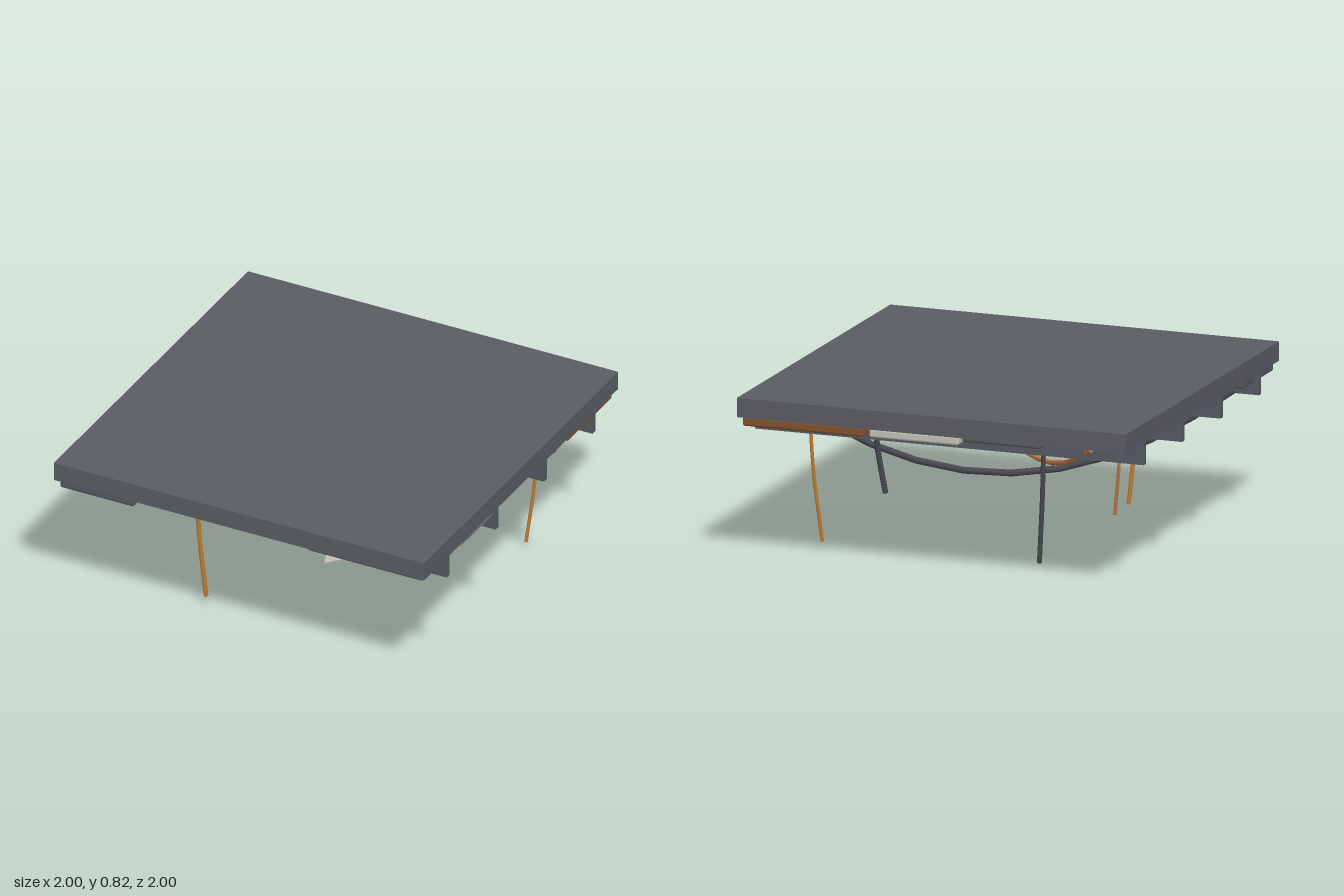
import * as THREE from 'three';
import { RoundedBoxGeometry } from 'three/addons/geometries/RoundedBoxGeometry.js';

const mat = (name, color) => {
  const m = new THREE.MeshStandardMaterial({ color });
  m.name = name;
  return m;
};

export function createModel() {
  const model = new THREE.Group();
  model.name = 'damagedCeiling';

  const slabGrey = mat('slabGrey', 0x595c62);
  const beamGrey = mat('beamGrey', 0x565963);
  const darkTile = mat('darkTile', 0x54575c);
  const paleGrey = mat('paleGrey', 0x85898b);
  const offWhite = mat('offWhite', 0xc4c3b7);
  const rust = mat('rust', 0x83522f);
  const darkCable = mat('darkCable', 0x47484f);
  const copper = mat('copper', 0xb87a45);
  const orange = mat('orange', 0xbd7c30);

  const add = (name, geometry, material, x = 0, y = 0, z = 0, parent = model) => {
    const mesh = new THREE.Mesh(geometry, material);
    mesh.name = name;
    mesh.position.set(x, y, z);
    parent.add(mesh);
    return mesh;
  };

  // Slab and the four beams under it
  const slabBottom = 0.735;
  add('slab', new THREE.BoxGeometry(2, 0.095, 2), slabGrey, 0, slabBottom + 0.0475, 0);
  for (const z of [-0.75, -0.25, 0.25, 0.75]) {
    add('beam', new THREE.BoxGeometry(2, 0.11, 0.03), beamGrey, 0, slabBottom - 0.055, z);
  }

  // Tile: thin sheet inside a rounded raised rim
  const tile = (name, x0, x1, z0, z1, bottom, material) => {
    const g = new THREE.Group();
    g.name = name;
    model.add(g);
    const w = x1 - x0, d = z1 - z0, h = slabBottom - bottom, rim = 0.03;
    const cx = (x0 + x1) / 2, cz = (z0 + z1) / 2, cy = bottom + h / 2;
    const sheetBottom = Math.min(slabBottom - 0.006, bottom + 0.018);
    const sheetH = slabBottom - sheetBottom;
    add('sheet', new THREE.BoxGeometry(w - rim, sheetH, d - rim), material, cx, sheetBottom + sheetH / 2, cz, g);
    const r = Math.min(0.012, h * 0.4);
    for (const s of [-1, 1]) {
      add('rimAlongX', new RoundedBoxGeometry(w, h, rim, 2, r), material, cx, cy, cz + s * (d - rim) / 2, g);
      add('rimAlongZ', new RoundedBoxGeometry(rim, h, d, 2, r), material, cx + s * (w - rim) / 2, cy, cz, g);
    }
  };
  tile('rustCornerTile', 0.36, 0.98, -0.98, -0.52, 0.688, rust);
  tile('rustCentreTile', -0.6, 0.36, -0.31, 0.22, 0.707, rust);
  tile('paleBackTile', -0.13, 0.33, -0.98, -0.34, 0.69, offWhite);
  tile('greySideTile', 0.36, 0.98, 0.22, 0.58, 0.69, paleGrey);
  tile('darkBackTile', -0.55, -0.15, -0.98, -0.52, 0.712, darkTile);
  tile('darkFrontTile', -0.98, -0.58, 0.58, 0.98, 0.688, darkTile);
  tile('thinFrontTile', 0.36, 0.98, 0.6, 0.98, 0.712, darkTile);

  // Fallen tile, tilted on two axes
  const fallen = add('fallenTile', new THREE.BoxGeometry(0.38, 0.014, 0.44), offWhite, 0.3, 0.46, 0.25);
  const across = new THREE.Vector3(0.35, 0.135, -0.08).normalize();
  const along = new THREE.Vector3(0.13, -0.135, 0.4).normalize();
  const normal = new THREE.Vector3().crossVectors(along, across).normalize();
  along.crossVectors(across, normal);
  fallen.quaternion.setFromRotationMatrix(new THREE.Matrix4().makeBasis(across, normal, along));

  // Thin wire bracket below the front tile
  for (const y of [0.656, 0.682]) {
    add('bracketRail', new THREE.BoxGeometry(0.008, 0.006, 0.35), offWhite, -0.78, y, 0.685);
  }
  for (const z of [0.51, 0.86]) {
    add('bracketEnd', new THREE.BoxGeometry(0.008, 0.03, 0.006), offWhite, -0.78, 0.669, z);
  }

  // Cable: capped tube through a few points
  const cable = (name, points, radius, segments, material) => {
    const curve = new THREE.CatmullRomCurve3(points.map(p => new THREE.Vector3(...p)));
    add(name, new THREE.TubeGeometry(curve, segments, radius, 8), material);
    for (const t of [0, 1]) {
      const out = curve.getTangent(t).multiplyScalar(t ? 1 : -1);
      const p = curve.getPoint(t);
      const cap = add(name + 'End', new THREE.CircleGeometry(radius, 8), material, p.x, p.y, p.z);
      cap.quaternion.setFromUnitVectors(new THREE.Vector3(0, 0, 1), out);
    }
  };

  // Two cables sagging from end to end
  const sag = (name, a, b, low, radius, material) => {
    const points = [];
    for (let i = 0; i <= 8; i++) {
      const t = i / 8, k = (2 * t - 1) ** 2;
      points.push([a[0] + (b[0] - a[0]) * t, low + (a[1] - low) * k, a[2] + (b[2] - a[2]) * t]);
    }
    cable(name, points, radius, 10, material);
  };
  sag('darkSaggingCable', [0.96, 0.7, -0.42], [-0.96, 0.7, 0.51], 0.31, 0.017, darkCable);
  sag('copperSaggingCable', [0.6, 0.69, 0.86], [-0.75, 0.69, -0.82], 0.435, 0.0125, copper);

  // Loose cables hanging down, bowed slightly outwards
  const hang = (name, top, bottom, radius, material) => {
    const at = (i, t, bow) => top[i] + (bottom[i] - top[i]) * (t - bow);
    const mid = [at(0, 0.5, 0.18), at(1, 0.5, 0), at(2, 0.5, 0.12)];
    cable(name, [top, mid, bottom], radius, 6, material);
  };
  hang('longDarkCable', [-0.37, 0.72, -0.47], [-0.335, 0.01, -0.44], 0.0125, darkCable);
  hang('shortDarkCable', [0.505, 0.72, -0.47], [0.46, 0.28, -0.43], 0.0145, darkCable);
  hang('stubDarkCable', [-0.36, 0.72, 0.42], [-0.312, 0.44, 0.38], 0.0125, darkCable);
  hang('frontOrangeCable', [-0.415, 0.72, 0.65], [-0.376, 0.06, 0.62], 0.011, orange);
  hang('backOrangeCable', [0.785, 0.72, -0.6], [0.735, 0.045, -0.556], 0.009, orange);
  hang('thinCopperCable', [-0.69, 0.72, -0.28], [-0.645, 0.23, -0.243], 0.0085, copper);

  return model;
}
